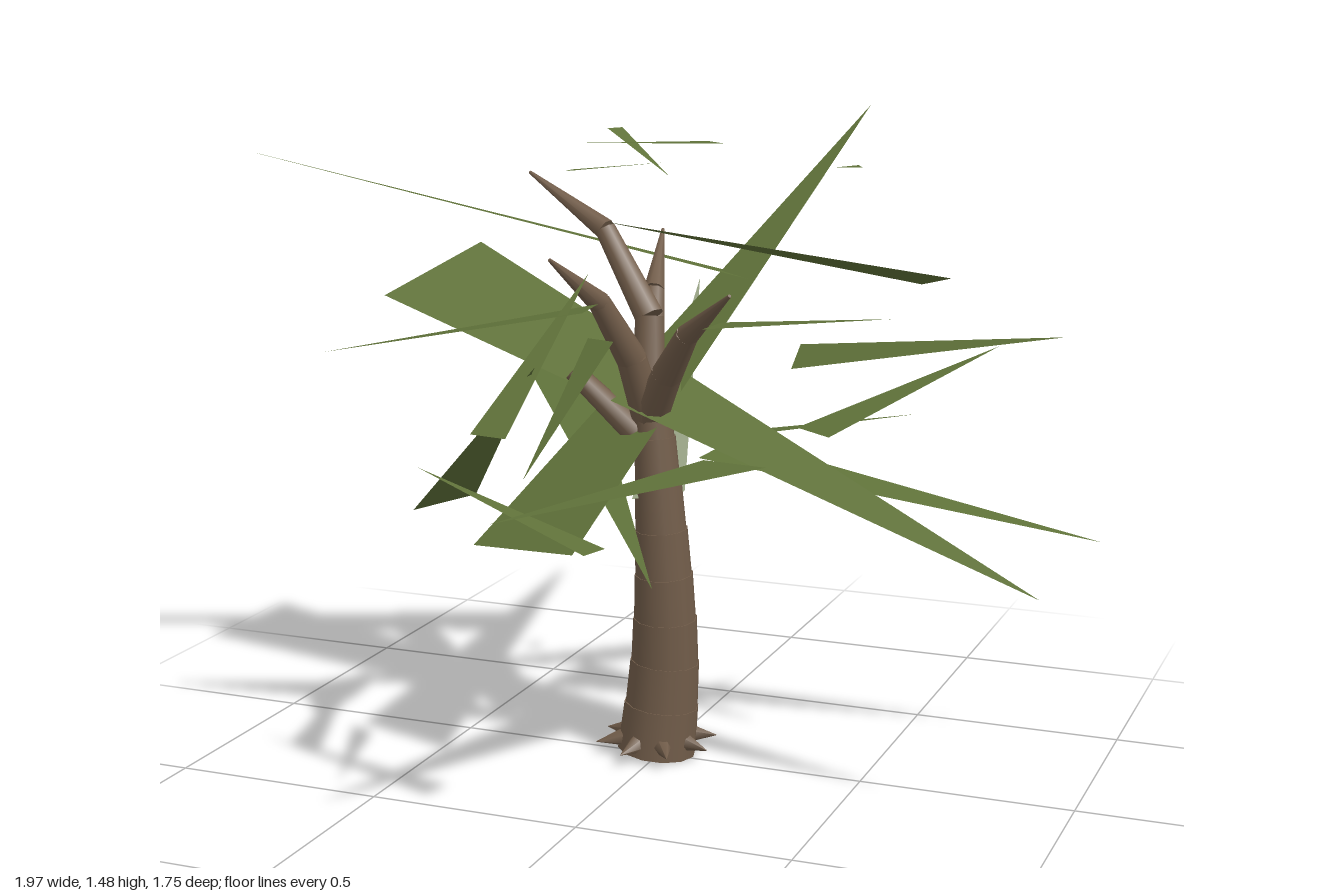
import * as THREE from 'three';

const V = (p) => new THREE.Vector3(...p);

export function createModel() {
  const model = new THREE.Group();
  const bark = new THREE.MeshStandardMaterial({ color: 0x725d4a });
  bark.name = 'bark';
  const leafGreen = new THREE.MeshStandardMaterial({ color: 0x5f7139, side: THREE.DoubleSide });
  leafGreen.name = 'leafGreen';

  // tapered piece of wood between two points
  function limb(name, from, to, r0, r1, sides) {
    const dir = to.clone().sub(from);
    const mesh = new THREE.Mesh(new THREE.CylinderGeometry(r1, r0, dir.length(), sides), bark);
    mesh.position.copy(from).addScaledVector(dir, 0.5);
    mesh.quaternion.setFromUnitVectors(new THREE.Vector3(0, 1, 0), dir.normalize());
    mesh.name = name;
    model.add(mesh);
  }

  // flat triangular blade
  function blade(tip, left, right) {
    const geo = new THREE.BufferGeometry().setFromPoints([tip, left, right]);
    geo.computeVertexNormals();
    const mesh = new THREE.Mesh(geo, leafGreen);
    mesh.name = 'leaf';
    model.add(mesh);
  }

  // slender blade: level wide end, square to the blade's direction
  function slenderBlade(tip, end, width) {
    const side = new THREE.Vector3(tip.z - end.z, 0, end.x - tip.x).setLength(width / 2);
    blade(tip, end.clone().add(side), end.clone().sub(side));
  }

  // trunk of slightly overlapping segments along a gentle bend
  const bend = new THREE.CatmullRomCurve3([
    V([-0.01, 0.01, -0.01]), V([0.01, 0.21, -0.01]), V([0.015, 0.41, 0.005]),
    V([0.005, 0.64, 0.015]), V([-0.015, 0.88, 0.01]),
  ]);
  const segments = 8;
  const trunkRadius = (t) => 0.094 - 0.054 * t;
  for (let i = 0; i < segments; i++) {
    const t = i / segments, u = (i + 1) / segments;
    const top = bend.getPointAt(u);
    top.y += 0.008;
    limb('trunkSegment', bend.getPointAt(t), top, trunkRadius(t), trunkRadius(u) + 0.002, 12);
  }

  // root spikes around the foot
  for (let i = 0; i < 8; i++) {
    const a = (i / 8) * Math.PI * 2 + 0.25;
    const at = (r, y) => V([Math.cos(a) * r - 0.01, y, Math.sin(a) * r - 0.01]);
    limb('rootSpike', at(0.07, 0.045), at(0.145, 0.035), 0.026, 0.001, 6);
  }

  // branches grow from one fork and taper: two bends and a tip each
  const fork = V([-0.02, 0.82, 0.01]);
  const radii = [0.042, 0.036, 0.026, 0.004];
  const branches = [
    [[-0.04, 1.05, -0.04], [-0.17, 1.24, -0.09], [-0.39, 1.36, -0.15]],
    [[0.05, 0.94, 0.08], [0.13, 1.05, 0.16], [0.265, 1.16, 0.26]],
    [[-0.04, 0.97, 0.07], [-0.08, 1.11, 0.16], [-0.13, 1.225, 0.32]],
    [[-0.05, 0.96, -0.07], [-0.08, 1.09, -0.17], [-0.12, 1.215, -0.33]],
  ];
  for (const bends of branches) {
    const path = [fork, ...bends.map(V)];
    for (let i = 0; i < 3; i++) limb('branch', path[i], path[i + 1], radii[i], radii[i + 1], 8);
  }
  limb('branchStub', V([-0.05, 0.79, 0.02]), V([-0.19, 0.93, 0.06]), 0.034, 0.024, 8);

  // broad leaves: tip and the two corners of the wide end
  const broadLeaves = [
    [[0.235, 1.485, -0.88], [-0.35, 0.55, 0.27], [-0.06, 0.58, 0.37]],
    [[-0.99, 1.42, 0.16], [0, 1.085, -0.54], [0.09, 1.1, -0.36]],
    [[0.95, 0.545, 0.22], [-0.73, 1.06, -0.04], [-0.61, 1.16, -0.33]],
    [[0.96, 1.09, 0.105], [0.26, 0.97, -0.25], [0.28, 0.935, -0.12]],
    [[-0.02, 0.775, 0.87], [0.17, 0.77, 0.16], [0.33, 0.775, 0.2]],
    [[-0.03, 1.305, 0.25], [0.51, 1.105, -0.4], [0.61, 1.14, -0.29]],
    [[0.98, 0.545, -0.3], [0.1, 0.73, -0.25], [0.06, 0.71, -0.1]],
    [[-0.09, 1.02, 0.49], [-0.555, 0.59, 0.17], [-0.45, 0.61, 0.05]],
    [[0.07, 0.475, 0.22], [-0.52, 0.83, -0.41], [-0.39, 0.86, -0.48]],
    [[-0.05, 1.09, -0.4], [-0.04, 0.64, 0.07], [0.06, 0.65, -0.01]],
  ];
  for (const corners of broadLeaves) blade(...corners.map(V));

  // slender leaves: tip, middle of the wide end, width
  const slenderLeaves = [
    [[0.74, 1, -0.23], [0.43, 0.858, 0.18], 0.12],
    [[0.645, 1.145, 0.335], [0.24, 1.1, 0.3], 0.1],
    [[-0.68, 0.99, 0.35], [-0.055, 1.115, 0.27], 0.13],
    [[-0.35, 0.79, 0.535], [0.12, 0.68, 0.665], 0.07],
    [[0, 0.84, 0.75], [0.075, 1.095, 0.52], 0.07],
    [[-0.08, 1.185, 0.22], [-0.145, 0.89, 0.61], 0.09],
    [[-0.16, 1.455, 0.06], [0.06, 1.44, -0.215], 0.08],
    [[0, 1.375, -0.06], [-0.17, 1.472, -0.15], 0.045],
    [[-0.05, 1.395, -0.15], [-0.29, 1.368, -0.15], 0.045],
    [[0.38, 1.403, -0.12], [0.43, 1.405, -0.145], 0.05],
    [[0.57, 0.845, -0.15], [0.105, 0.76, -0.14], 0.08],
  ];
  for (const [tip, end, width] of slenderLeaves) slenderBlade(V(tip), V(end), width);

  return model;
}
